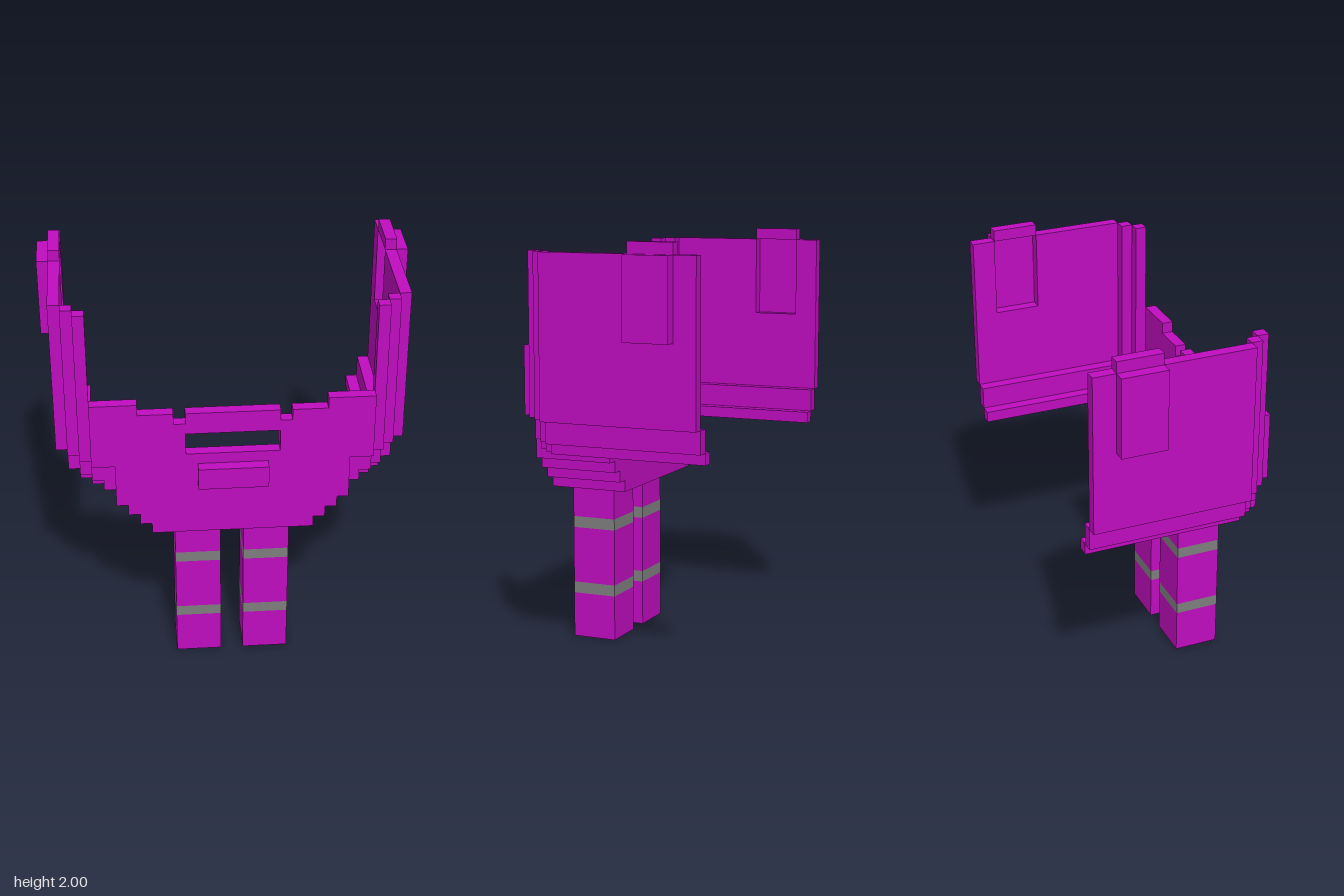
import * as THREE from 'three';

// All sizes below are in grid cells; the whole model is 36 cells tall.
const CELL = 2 / 36;

const purple = new THREE.MeshStandardMaterial({ color: 0xbe0dbe });
purple.name = 'purple';
const grey = new THREE.MeshStandardMaterial({ color: 0x7d7d7d });
grey.name = 'grey';

// Block spanning the given ranges of x, y and z
function block(parent, name, [x0, x1], [y0, y1], [z0, z1], material = purple) {
  const mesh = new THREE.Mesh(new THREE.BoxGeometry(x1 - x0, y1 - y0, z1 - z0), material);
  mesh.position.set((x0 + x1) / 2, (y0 + y1) / 2, (z0 + z1) / 2);
  mesh.name = name;
  parent.add(mesh);
  return mesh;
}

// Plate one cell thick, cut from an outline with optional holes
function plate(parent, name, outline, holes = []) {
  const toPoints = (list) => list.map(([a, b]) => new THREE.Vector2(a, b));
  const shape = new THREE.Shape(toPoints(outline));
  holes.forEach((h) => shape.holes.push(new THREE.Path(toPoints(h))));
  const mesh = new THREE.Mesh(
    new THREE.ExtrudeGeometry(shape, { depth: 1, bevelEnabled: false }), purple);
  mesh.name = name;
  parent.add(mesh);
  return mesh;
}

const rect = (x0, x1, y0, y1) => [[x0, y0], [x0, y1], [x1, y1], [x1, y0]];

export function createModel() {
  const model = new THREE.Group();
  model.name = 'model';
  const parts = new THREE.Group();
  parts.name = 'parts';
  parts.scale.setScalar(CELL);
  model.add(parts);

  // Stepped hull, widening by one cell per layer
  for (let i = 0; i < 4; i++) {
    block(parts, 'hullLayer', [-7 - i, 7 + i], [14 + i, 15 + i], [1, 8]);
  }

  // Front plate with notched top edge, window and recess
  const half = [[10, 18], [10, 21], [12, 21], [12, 27], [8, 27], [8, 26], [5, 26], [5, 25], [4, 25], [4, 26]];
  const mirrored = half.map(([x, y]) => [-x, y]).reverse();
  plate(parts, 'frontPlate', [...half, ...mirrored], [rect(-4, 4, 22, 24), rect(-3, 3, 19, 21)])
    .position.z = 7;
  block(parts, 'frontPanel', [-3, 3], [19, 21], [8, 9]);

  for (const side of [1, -1]) {
    const group = new THREE.Group();
    group.name = side > 0 ? 'leftSide' : 'rightSide';
    parts.add(group);
    const add = (name, x, y, z, material) =>
      block(group, name, side > 0 ? x : [-x[1], -x[0]], y, z, material);

    // Leg with two grey bands
    [[0, 4], [4, 5], [5, 10], [10, 11], [11, 14]].forEach((y, i) =>
      add(i % 2 ? 'legBand' : 'leg', [1, 5], y, [3, 7], i % 2 ? grey : purple));

    // Small block behind the front plate, beside the window
    add('windowBlock', [4, 5], [22, 24], [6, 7]);

    // Side wall, open where the pod is hollowed out
    const wall = plate(group, 'sideWall',
      [[-9, 21], [5, 21], [5, 35], [-3, 35], [-3, 28], [-7, 28], [-7, 35], [-9, 35]]);
    wall.rotation.y = -Math.PI / 2;
    wall.position.x = side > 0 ? 15 : -14;
    add('pod', [15, 16], [28, 35], [-7, -3]);
    add('podCap', [14, 15], [35, 36], [-7, -3]);

    // Upper corner columns
    add('cornerColumn', [13, 14], [21, 35], [5, 6]);
    add('cornerColumn', [12, 13], [21, 35], [6, 7]);

    // Lower ledges stepping in under the wall and round the corner
    add('upperLedge', [13, 14], [19, 21], [-9, 5]);
    add('upperLedgeCorner', [12, 13], [19, 21], [5, 6]);
    add('upperLedgeFront', [10, 12], [19, 21], [6, 7]);
    add('lowerLedge', [12, 13], [18, 19], [-9, 5]);
    add('lowerLedgeCorner', [11, 12], [18, 19], [5, 6]);
    add('lowerLedgeFront', [10, 11], [18, 19], [6, 7]);
  }

  return model;
}
